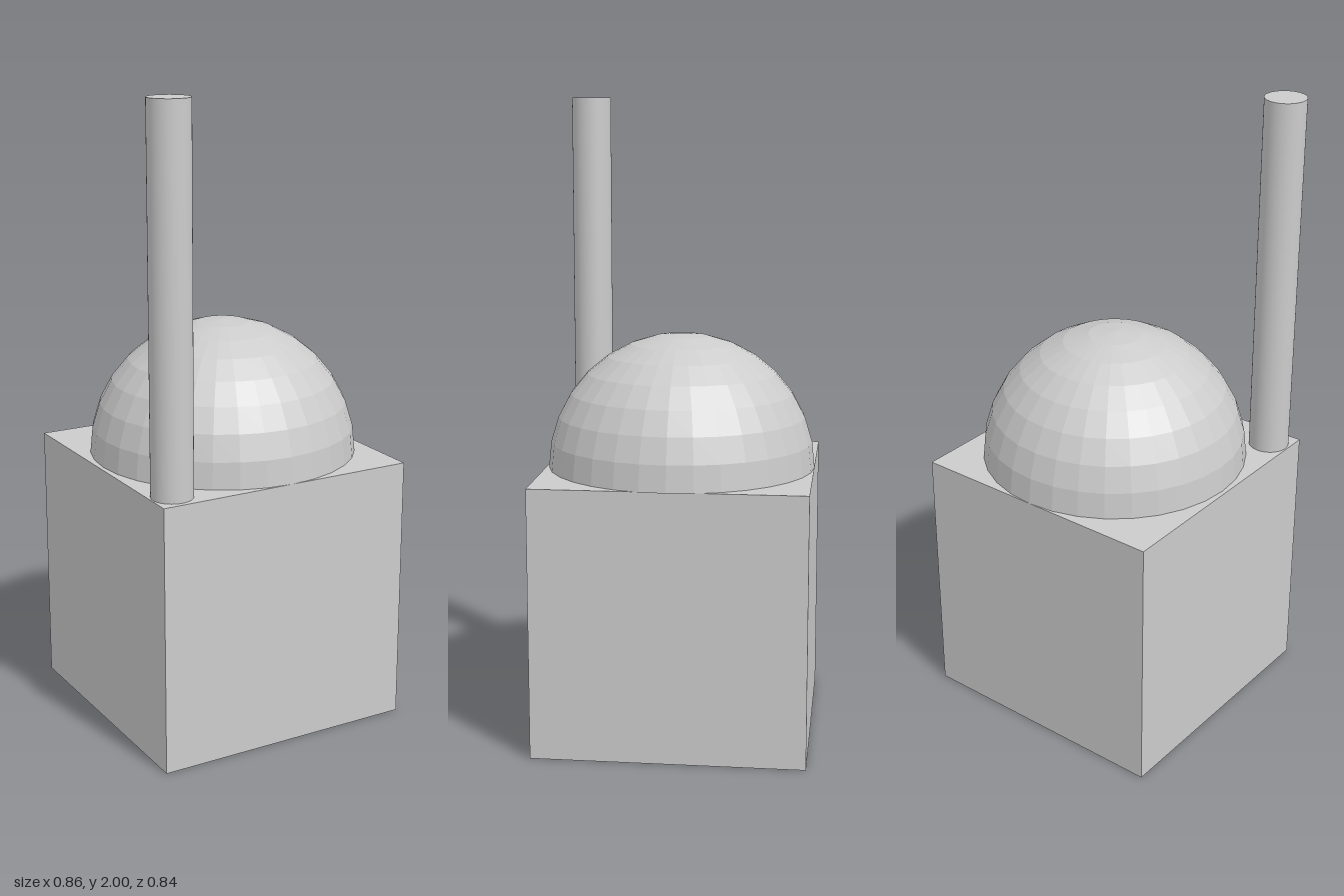
import * as THREE from 'three';

export function createModel() {
  const model = new THREE.Group();
  const grey = new THREE.MeshStandardMaterial({ color: 0xcccccc });
  const faceted = new THREE.MeshStandardMaterial({ color: 0xcccccc, flatShading: true });

  const add = (name, geometry, material, x, y, z) => {
    const mesh = new THREE.Mesh(geometry, material);
    mesh.name = name;
    mesh.position.set(x, y, z);
    model.add(mesh);
  };

  const baseHeight = 0.845;
  const domeRadius = 0.422;
  const towerHeight = 2 - baseHeight;

  // Cubic building body
  add('base', new THREE.BoxGeometry(0.844, baseHeight, 0.844), grey, -0.007, baseHeight / 2, 0);

  // Faceted hemisphere on the roof, set slightly to the left
  add('dome', new THREE.SphereGeometry(domeRadius, 32, 8, 0, Math.PI * 2, 0, Math.PI / 2),
    faceted, 0.006, baseHeight, 0);

  // Underside of the dome where it overhangs the base
  const underside = new THREE.CircleGeometry(domeRadius, 32).rotateX(Math.PI / 2);
  add('domeUnderside', underside, faceted, 0.006, baseHeight, 0);

  // Slim round tower on the front right corner
  add('tower', new THREE.CylinderGeometry(0.064, 0.064, towerHeight, 48), grey,
    -0.36, baseHeight + towerHeight / 2, 0.343);

  return model;
}
